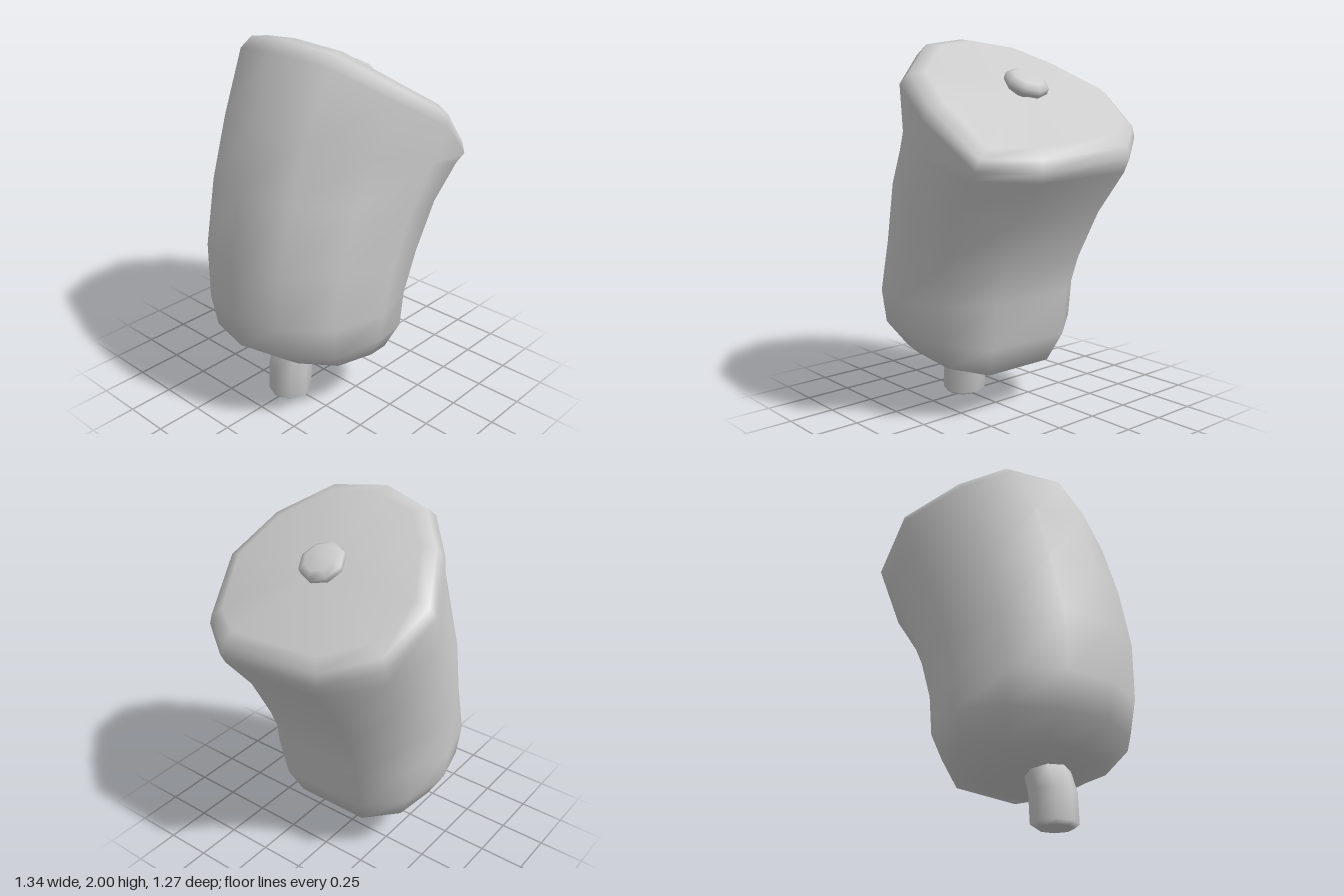
import * as THREE from 'three';

const material = new THREE.MeshStandardMaterial({ color: 0xcccccc });

// Closed loft. Each ring is [leftX, leftY, rightX, rightY, halfDepth, profile];
// a profile lists [fraction from left to right, fraction of half depth, lift].
function loft(name, rings) {
  const n = rings[0][5].length;
  const positions = [];
  const index = [];
  for (const [lx, ly, rx, ry, depth, profile] of rings) {
    for (const [t, w, lift = 0] of profile) {
      positions.push(lx + (rx - lx) * t, ly + (ry - ly) * t + lift, depth * w);
    }
  }
  const bottom = rings.length * n;
  const top = bottom + 1;
  for (const [lx, ly, rx, ry] of [rings[0], rings[rings.length - 1]]) {
    positions.push((lx + rx) / 2, (ly + ry) / 2, 0);
  }
  const last = (rings.length - 1) * n;
  for (let i = 0; i < n; i++) {
    const j = (i + 1) % n;
    for (let r = 0; r < last; r += n) {
      index.push(r + i, r + j, r + n + j, r + i, r + n + j, r + n + i);
    }
    index.push(bottom, j, i, top, last + i, last + j);
  }
  const geometry = new THREE.BufferGeometry();
  geometry.setAttribute('position', new THREE.Float32BufferAttribute(positions, 3));
  geometry.setIndex(index);
  geometry.computeVertexNormals();
  const mesh = new THREE.Mesh(geometry, material);
  mesh.name = name;
  return mesh;
}

// Eleven-sided section, pointed on the left, from its front and back halves
function section(front, back = front) {
  return [[0, 0], ...front, ...back.map(([t, w, lift]) => [t, -w, lift]).reverse()];
}

export function createModel() {
  const group = new THREE.Group();
  group.name = 'bentBulb';

  const base = section([[0.07, 0.47], [0.26, 0.85, 0.02], [0.55, 1, 0.06], [0.82, 0.87, 0.03], [1, 0.47]]);
  const lower = section([[0.07, 0.47], [0.26, 0.85], [0.55, 1], [0.82, 0.87], [1, 0.47]]);
  // Flattened left corners below the rim
  const waist = section([[0.07, 0.47], [0.29, 0.8], [0.55, 1], [0.82, 0.87], [1, 0.47]]);
  const neck = section(
    [[0.07, 0.45], [0.3, 0.79, -0.03], [0.55, 1, -0.04], [0.82, 0.87, -0.06], [1, 0.47, -0.02]],
    [[0.07, 0.45], [0.29, 0.74], [0.55, 1], [0.82, 0.87], [1, 0.47]],
  );
  // Rim drooping at its front right corner
  const rim = section(
    [[0.07, 0.47], [0.26, 0.87, -0.05], [0.55, 1, -0.06], [0.82, 0.87, -0.14], [1, 0.47, -0.05]],
    [[0.07, 0.47], [0.26, 0.76], [0.55, 1], [0.82, 0.88, -0.02], [1, 0.48, -0.01]],
  );

  // Body leaning over to its slanted top face
  group.add(loft('body', [
    [-0.34, 0.30, 0.03, 0.22, 0.25, lower],
    [-0.47, 0.35, 0.19, 0.25, 0.45, base],
    [-0.63, 0.46, 0.27, 0.41, 0.53, base],
    [-0.67, 0.64, 0.29, 0.65, 0.545, lower],
    [-0.67, 0.95, 0.37, 0.86, 0.565, waist],
    [-0.60, 1.30, 0.49, 1.10, 0.59, waist],
    [-0.51, 1.62, 0.65, 1.32, 0.615, neck],
    [-0.36, 1.95, 0.67, 1.40, 0.635, rim],
    [-0.29, 2.00, 0.66, 1.46, 0.61, rim],
    [-0.20, 1.99, 0.62, 1.52, 0.54, rim],
  ]));

  // Octagon for the small round parts
  const octagon = Array.from({ length: 8 }, (_, i) => {
    const a = (i / 8) * Math.PI * 2;
    return [0.5 - 0.5 * Math.cos(a), Math.sin(a)];
  });

  // Stem curving up into the underside
  group.add(loft('stem', [
    [-0.37, 0.00, -0.19, 0.00, 0.09, octagon],
    [-0.395, 0.02, -0.16, 0.02, 0.12, octagon],
    [-0.39, 0.18, -0.15, 0.17, 0.12, octagon],
    [-0.35, 0.29, -0.13, 0.25, 0.12, octagon],
    [-0.28, 0.45, -0.08, 0.37, 0.12, octagon],
  ]));

  // Button lying on the slanted face: [height, radius] steps along its normal
  const steps = [[-0.03, 0.1], [0, 0.118], [0.03, 0.118], [0.05, 0.085]];
  group.add(loft('button', steps.map(([h, r]) => {
    const x = 0.23 + 0.497 * h;
    const y = 1.75 + 0.868 * h;
    return [x - 0.868 * r, y + 0.497 * r, x + 0.868 * r, y - 0.497 * r, r, octagon];
  })));

  return group;
}
